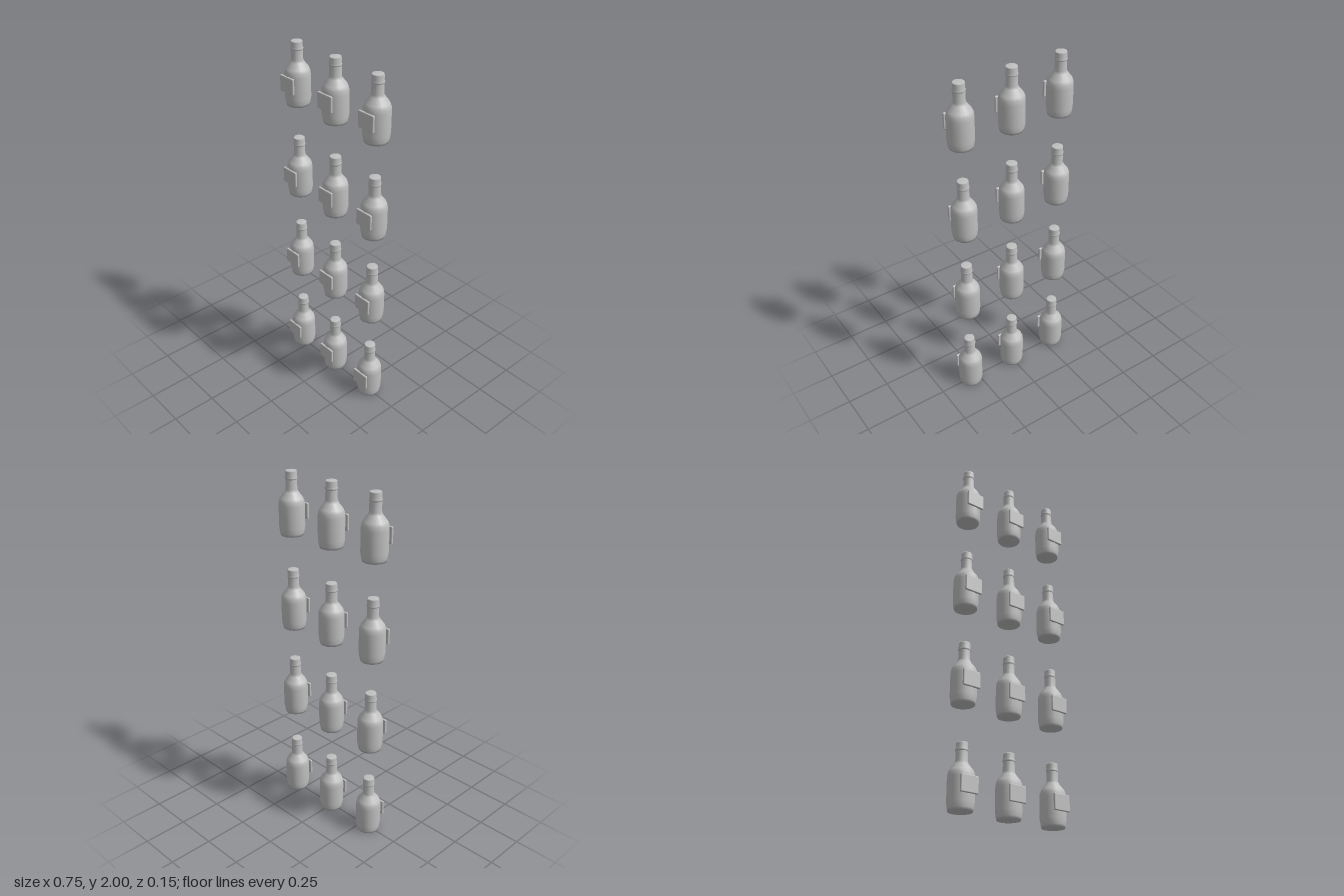
import * as THREE from 'three';
import { RoundedBoxGeometry } from 'three/addons/geometries/RoundedBoxGeometry.js';

const glass = new THREE.MeshStandardMaterial({ color: 0xc0c0c0 });
glass.name = 'plain grey';

function lathe(points) {
  return new THREE.LatheGeometry(points.map(([r, y]) => new THREE.Vector2(r, y)), 16);
}

// Body with rounded foot, sloping shoulder and slim neck
const bodyGeometry = lathe([
  [0, 0], [0.063, 0], [0.066, 0.014], [0.071, 0.045], [0.071, 0.165], [0.069, 0.188],
  [0.062, 0.205], [0.038, 0.236], [0.032, 0.25], [0.031, 0.31],
]);
// Stopper with a raised collar
const capGeometry = lathe([
  [0.031, 0.303], [0.034, 0.307], [0.034, 0.313], [0.031, 0.318], [0.031, 0.345], [0.029, 0.35], [0, 0.35],
]);
// Flat label plaque with softened edges
const labelGeometry = new RoundedBoxGeometry(0.107, 0.09, 0.014, 2, 0.005);

function createBottle() {
  const bottle = new THREE.Group();
  bottle.name = 'bottle';
  const parts = [['body', bodyGeometry], ['cap', capGeometry], ['label', labelGeometry]];
  for (const [name, geometry] of parts) {
    const mesh = new THREE.Mesh(geometry, glass);
    mesh.name = name;
    bottle.add(mesh);
    if (name === 'label') mesh.position.set(0, 0.125, 0.071);
  }
  return bottle;
}

export function createModel() {
  const model = new THREE.Group();
  model.name = 'bottleRack';
  // Four rows of three bottles
  for (let row = 0; row < 4; row++) {
    for (let column = -1; column <= 1; column++) {
      const bottle = createBottle();
      bottle.position.set(column * 0.302, row * 0.55, -0.004);
      model.add(bottle);
    }
  }
  return model;
}
